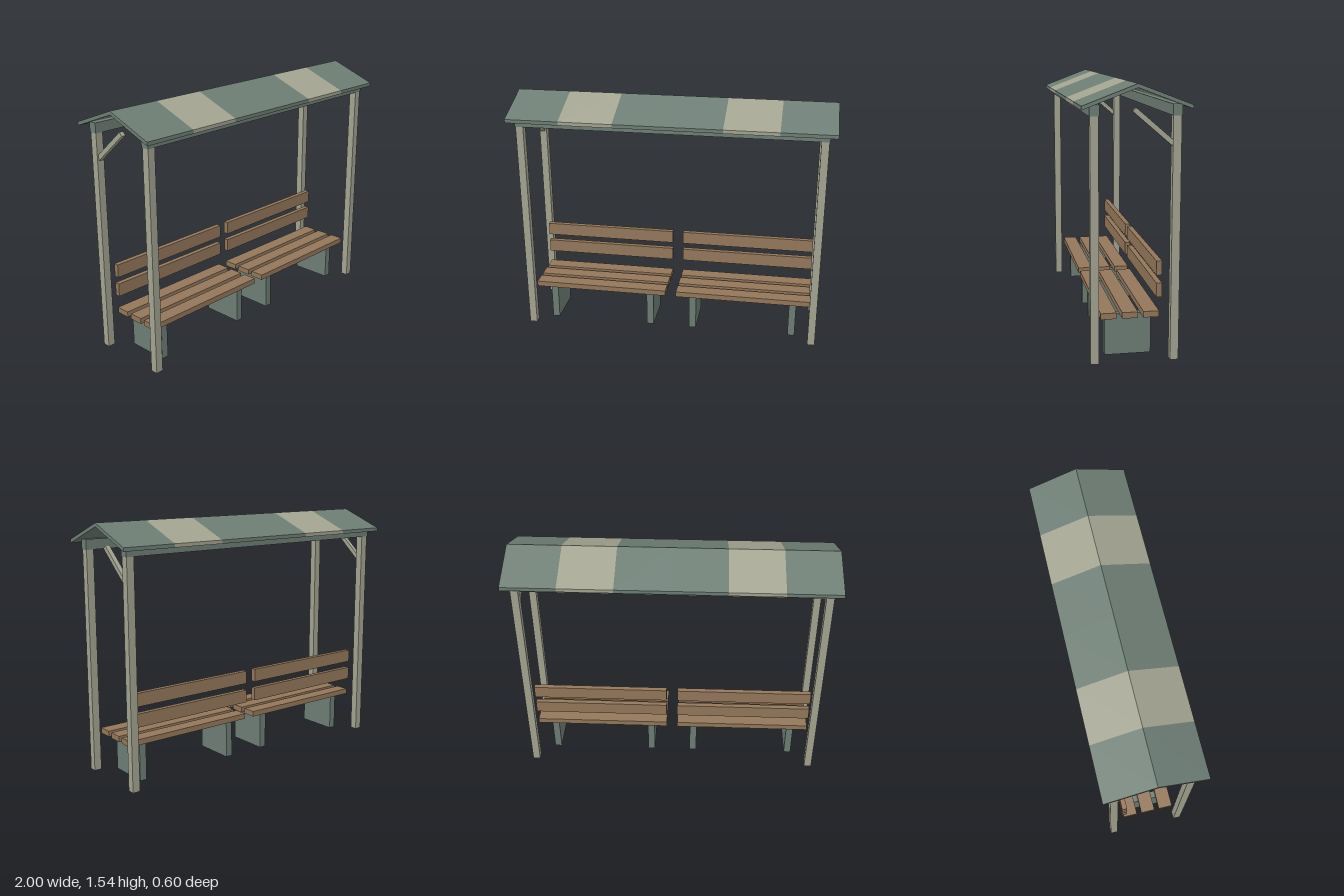
import * as THREE from 'three';

export function createModel() {
  const mat = (name, color) => {
    const m = new THREE.MeshStandardMaterial({ color });
    m.name = name;
    return m;
  };
  const green = mat('grey green paint', 0x6d7d74);
  const cream = mat('pale stone paint', 0xa3a391);
  const wood = mat('brown timber', 0x93775a);

  const model = new THREE.Group();
  model.name = 'shelteredBench';

  // Box given by its extents on each axis
  const box = (parent, name, material, [x0, x1], [y0, y1], [z0, z1]) => {
    const mesh = new THREE.Mesh(new THREE.BoxGeometry(x1 - x0, y1 - y0, z1 - z0), material);
    mesh.position.set((x0 + x1) / 2, (y0 + y1) / 2, (z0 + z1) / 2);
    mesh.name = name;
    parent.add(mesh);
    return mesh;
  };

  // Frame: four posts, two eave beams and two rear braces
  const frame = new THREE.Group();
  frame.name = 'frame';
  model.add(frame);
  for (const s of [-1, 1]) {
    for (const x of [-1, 1]) {
      box(frame, 'post', cream, [x * 0.928 - 0.0235, x * 0.928 + 0.0235], [0, 1.372], [s * 0.225 - 0.0235, s * 0.225 + 0.0235]);
    }
    box(frame, 'eaveBeam', green, [-0.955, 0.955], [1.372, 1.434], [s * 0.225 - 0.0265, s * 0.225 + 0.0265]);

    const brace = new THREE.Mesh(new THREE.BoxGeometry(0.028, 0.028, 0.31), cream);
    brace.name = 'brace';
    brace.position.set(s * 0.928, 1.304, -0.11);
    brace.rotation.x = -0.71;
    frame.add(brace);
  }

  // Gabled roof: six equal panels, two of them pale
  const roof = new THREE.Group();
  roof.name = 'roof';
  model.add(roof);
  const gable = new THREE.Shape([
    [-0.3, 1.409], [0, 1.523], [0.3, 1.409], [0.3, 1.431], [0, 1.545], [-0.3, 1.431],
  ].map(([z, y]) => new THREE.Vector2(z, y)));
  for (let i = 0; i < 6; i++) {
    const geometry = new THREE.ExtrudeGeometry(gable, { depth: 1 / 3, bevelEnabled: false });
    geometry.rotateY(Math.PI / 2);
    const panel = new THREE.Mesh(geometry, i === 1 || i === 4 ? cream : green);
    panel.name = 'roofPanel';
    panel.position.x = -1 + i / 3;
    roof.add(panel);
  }

  // Two benches side by side
  for (const s of [-1, 1]) {
    const bench = new THREE.Group();
    bench.name = s > 0 ? 'leftBench' : 'rightBench';
    bench.position.x = s * 0.47;
    model.add(bench);
    const span = [-0.435, 0.435];
    for (const z of [-0.102, 0.019, 0.14]) {
      box(bench, 'seatSlat', wood, span, [0.24, 0.275], [z - 0.045, z + 0.045]);
    }
    for (const y of [0.396, 0.522]) {
      box(bench, 'backSlat', wood, span, [y - 0.041, y + 0.041], [-0.161, -0.129]);
    }
    for (const x of [-0.327, 0.327]) {
      box(bench, 'slabLeg', green, [x - 0.0225, x + 0.0225], [0, 0.242], [-0.117, 0.15]);
    }
  }

  return model;
}
